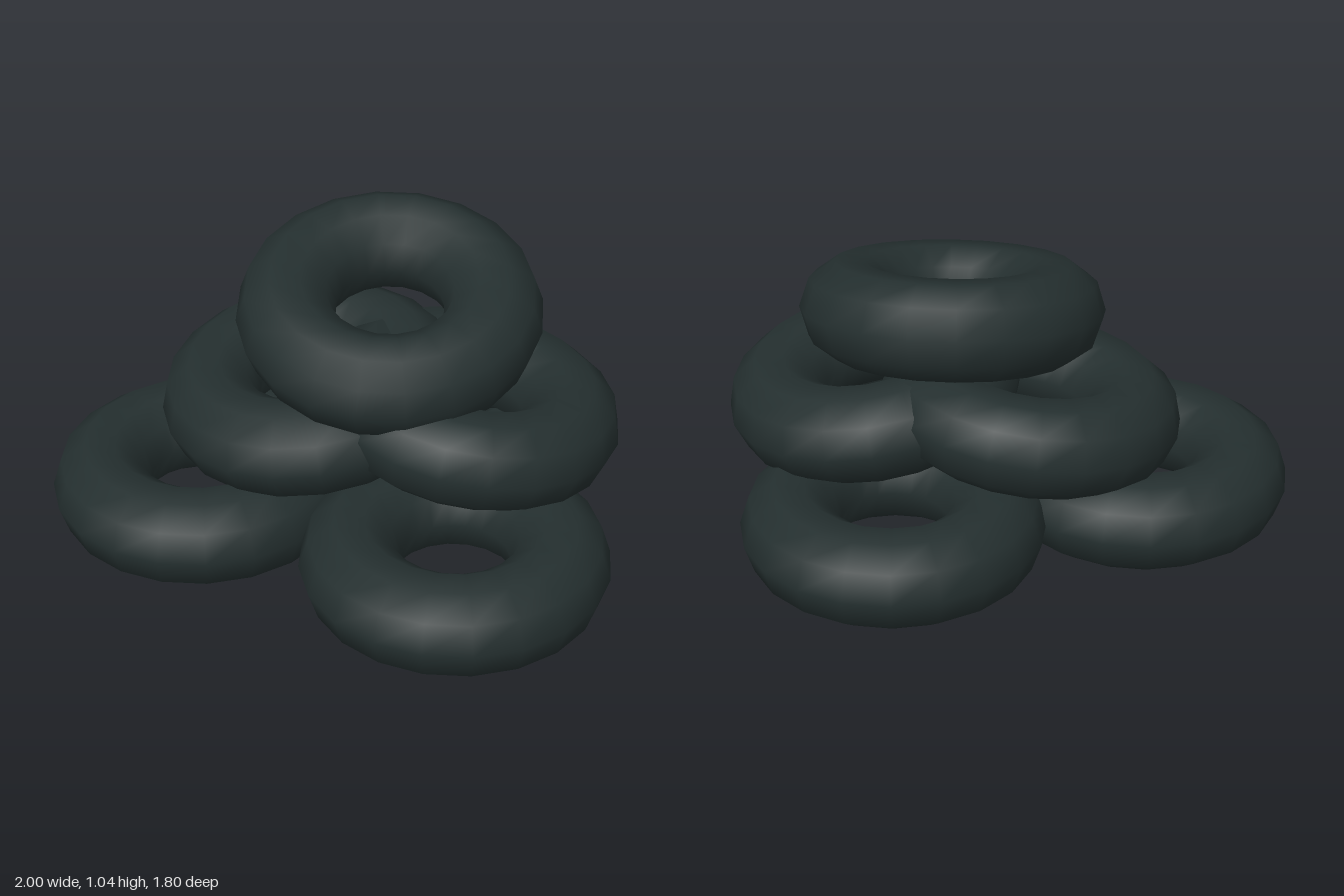
import * as THREE from 'three';

export function createModel() {
  const model = new THREE.Group();
  model.name = 'tirePile';

  const rubber = new THREE.MeshStandardMaterial({ color: 0x242f2f });
  rubber.name = 'dark rubber';

  // One tire shape lying flat, shared by the whole pile
  const tire = new THREE.TorusGeometry(0.347, 0.166, 10, 20);
  tire.rotateX(-Math.PI / 2);

  // name, position, tilt about x, tilt about z
  const tires = [
    // Bottom layer, flat on the ground
    ['bottomTireRight', [-0.487, 0.158, 0.383], 0, 0],
    ['bottomTireLeft', [0.487, 0.158, 0.343], 0, 0],
    ['bottomTireBack', [0, 0.158, -0.387], 0, 0],
    // Middle layer, each leaning outwards
    ['middleTireRight', [-0.22, 0.465, 0.1], 0.12, 0.07],
    ['middleTireLeft', [0.302, 0.46, -0.077], -0.115, -0.12],
    // Top tire, sloping to the front
    ['topTire', [0.032, 0.79, 0], 0.213, -0.125],
  ];
  for (const [name, position, tiltX, tiltZ] of tires) {
    const mesh = new THREE.Mesh(tire, rubber);
    mesh.name = name;
    mesh.position.set(...position);
    mesh.rotation.set(tiltX, 0, tiltZ);
    model.add(mesh);
  }
  return model;
}
